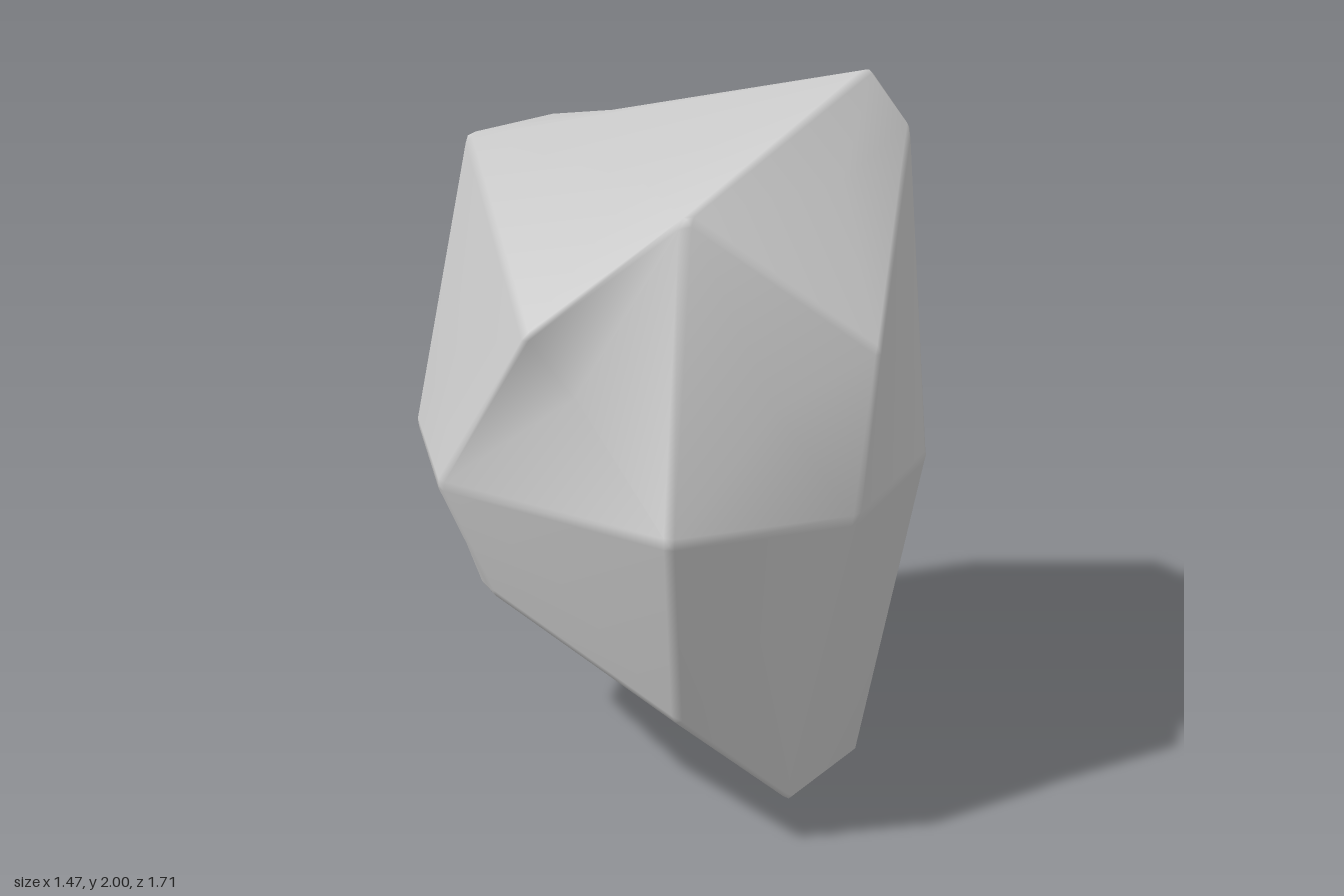
import * as THREE from 'three';

// Corners of the boulder, from the crown down to the foot
const CORNERS = [
  // crown, 0-9
  [0.54, 2.01, -0.37], [0.47, 1.86, -0.69], [0.66, 1.85, -0.37],
  [-0.41, 1.86, -0.41], [-0.53, 1.87, 0.12],
  [0.11, 1.74, 0.53], [-0.25, 1.47, 0.72], [0.59, 1.42, 0.54],
  [0.6, 1.47, -0.52], [0.13, 1.3, -0.86],
  // waist, 10-16
  [0.11, 1.02, 0.86], [0.55, 0.98, 0.54], [0.735, 1.02, 0.14], [0.57, 1.02, -0.52],
  [-0.63, 1.0, -0.53], [-0.74, 1.02, 0.02], [-0.54, 1.02, 0.53],
  // foot, 17-25; the last one is the hollow underneath
  [-0.41, 0.71, 0.51], [0.11, 0.46, 0.7], [-0.56, 0.5, 0.02], [0.4, 0.15, 0.54],
  [-0.35, 0.25, -0.52], [-0.05, 0.18, -0.68], [0.4, 0.0, -0.37], [0.58, 0.0, 0.0],
  [0.11, 0.19, 0.08],
].map((c) => new THREE.Vector3(...c));

// Facets as corner loops, counter-clockwise seen from outside
const CROWN_FACETS = [
  [0, 1, 3, 4], [0, 4, 6, 5], [0, 5, 7, 2], [0, 2, 1], [2, 8, 1],
  [5, 6, 16, 10], [5, 10, 11, 7], [4, 15, 16, 6], [4, 3, 14, 15],
];
const SIDE_FACETS = [
  [2, 7, 11, 12], [2, 12, 13, 8], [1, 8, 13, 9], [1, 9, 14, 3],
  [10, 16, 17, 18], [10, 18, 20, 11], [16, 15, 19, 17], [15, 14, 21, 19],
  [14, 9, 22, 21], [9, 13, 23, 22], [13, 12, 24, 23], [12, 11, 20, 24],
];
const UNDER_FACETS = [[17, 19, 25, 20, 18], [25, 19, 21, 22, 23, 24], [25, 24, 20]];

// Closed solid of facets whose edges are cut by a bevel of the given width
function beveledSolid(corners, facets, width) {
  const points = [];
  const index = [];
  const add = (p) => points.push(p) - 1;
  const mean = (ids) => ids
    .reduce((sum, i) => sum.add(points[i]), new THREE.Vector3())
    .divideScalar(ids.length);
  const fan = (ids, hub) => ids.forEach((id, i) => index.push(hub, id, ids[(i + 1) % ids.length]));

  // facets, each inset from its edges
  const halfEdges = new Map();
  for (const loop of facets) {
    const n = loop.length;
    const inset = loop.map((c, i) => {
      const p = corners[c];
      const u = corners[loop[(i + 1) % n]].clone().sub(p).normalize();
      const v = corners[loop[(i + n - 1) % n]].clone().sub(p).normalize();
      const sine = u.clone().cross(v).length();
      return add(u.add(v).multiplyScalar(width / Math.max(sine, 0.4)).add(p));
    });
    fan(inset, add(mean(inset)));
    loop.forEach((a, i) => {
      const b = loop[(i + 1) % n];
      halfEdges.set(`${a},${b}`, { a, b, start: inset[i], end: inset[(i + 1) % n], loop });
    });
  }

  // bevel strips along the edges
  for (const e of halfEdges.values()) {
    if (e.a > e.b) continue;
    const o = halfEdges.get(`${e.b},${e.a}`);
    index.push(e.end, e.start, o.end, e.end, o.end, o.start);
  }

  // small caps over the corners, walking from facet to facet
  corners.forEach((p, c) => {
    const first = [...halfEdges.values()].find((e) => e.a === c);
    const ring = [];
    let e = first;
    do {
      ring.unshift(e.start);
      const { loop } = halfEdges.get(`${e.b},${c}`);
      e = halfEdges.get(`${c},${loop[(loop.indexOf(c) + 1) % loop.length]}`);
    } while (e !== first);
    fan(ring, add(mean(ring).lerp(p, 0.5)));
  });

  const geometry = new THREE.BufferGeometry().setFromPoints(points);
  geometry.setIndex(index);
  geometry.computeVertexNormals();
  return geometry;
}

export function createModel() {
  const group = new THREE.Group();
  group.name = 'rock';
  const facets = [...CROWN_FACETS, ...SIDE_FACETS, ...UNDER_FACETS];
  const boulder = new THREE.Mesh(
    beveledSolid(CORNERS, facets, 0.015),
    new THREE.MeshStandardMaterial({ color: 0xcccccc }),
  );
  boulder.name = 'boulder';
  group.add(boulder);
  return group;
}
